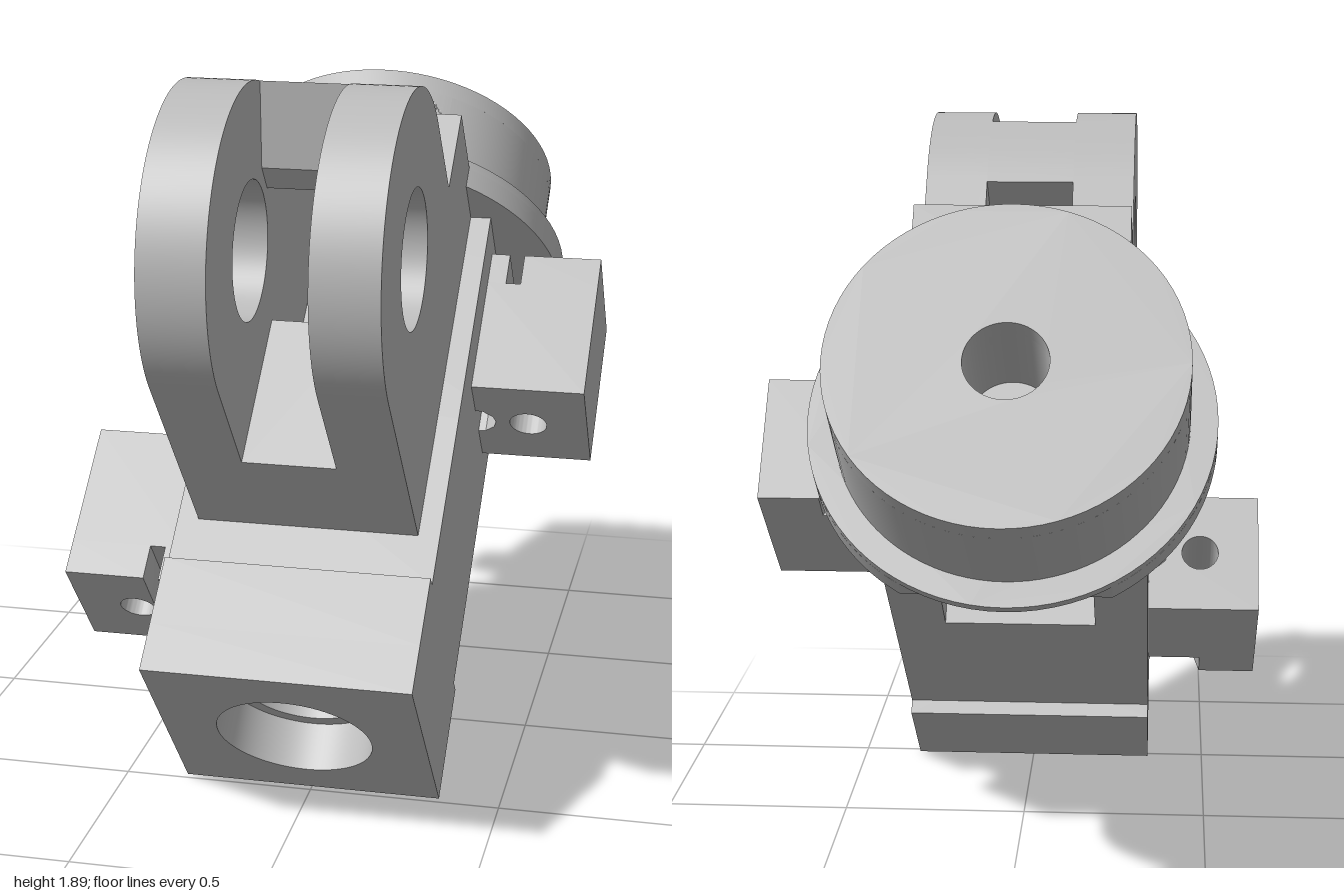
import * as THREE from 'three';
import { toCreasedNormals } from 'three/addons/utils/BufferGeometryUtils.js';

const grey = new THREE.MeshStandardMaterial({ color: 0xbcbcbc });
grey.name = 'plain grey';
const greyOpen = new THREE.MeshStandardMaterial({ color: 0xbcbcbc, side: THREE.DoubleSide });
greyOpen.name = 'plain grey';

// Working frame: x across, v upward from the underside, u along the body axis (u = -z)
const AXIS = 0.31;

const poly = (pts) => new THREE.Shape(pts.map(([a, b]) => new THREE.Vector2(a, b)));
const rect = (a0, a1, b0, b1) => poly([[a0, b0], [a1, b0], [a1, b1], [a0, b1]]);
const circle = (a, b, r) => new THREE.Shape().absarc(a, b, r, 0, Math.PI * 2, false);
const withHoles = (shape, ...holes) => {
  shape.holes.push(...holes);
  return shape;
};

export function createModel() {
  const model = new THREE.Group();
  const tilted = new THREE.Group();
  tilted.name = 'tiltedAssembly';
  tilted.rotation.x = THREE.MathUtils.degToRad(40);
  tilted.position.z = 0.48;
  model.add(tilted);

  const add = (name, geometry, material = grey) => {
    const mesh = new THREE.Mesh(geometry, material);
    mesh.name = name;
    tilted.add(mesh);
    return mesh;
  };
  const solid = (shape, depth) => toCreasedNormals(
    new THREE.ExtrudeGeometry(shape, { depth, bevelEnabled: false, curveSegments: 40 }), 0.5);

  // Extrusion helpers for the three directions
  const alongU = (name, shape, u0, u1) => add(name, solid(shape, u1 - u0).translate(0, 0, -u1));
  const alongX = (name, shape, x0, x1) =>
    add(name, solid(shape, x1 - x0).rotateY(Math.PI / 2).translate(x0, 0, 0));
  const alongV = (name, shape, v0, v1) =>
    add(name, solid(shape, v1 - v0).rotateX(-Math.PI / 2).translate(0, v0, 0));

  // Square head with a stepped bore, then the slightly slimmer body
  const W = 0.34;
  alongU('headFront', withHoles(rect(-W, W, 0, 0.63), circle(0, AXIS, 0.2)), 0, 0.13);
  alongU('headRear', withHoles(rect(-W, W, 0, 0.63), circle(0, AXIS, 0.165)), 0.13, 0.315);
  alongU('bodyFront', withHoles(rect(-W, W, 0.04, 0.596), circle(0, AXIS, 0.165)), 0.315, 0.8);
  alongU('bodyMiddle', rect(-W, W, 0.04, 0.596), 0.8, 0.88);

  // Rear of the body: underside pocket, legs shortened at the end
  const channel = (low) => poly([[-W, low], [-0.2, low], [-0.2, 0.3], [0.2, 0.3],
    [0.2, low], [W, low], [W, 0.596], [-W, 0.596]]);
  alongU('bodyRear', channel(0.04), 0.88, 1.31);
  alongU('bodyEnd', channel(0.13), 1.31, 1.445);

  // Clevis cheeks with the pin hole
  const eye = [0.86, 1.211];
  const R = 0.41;
  const cheek = () => {
    const s = new THREE.Shape();
    s.moveTo(0.45, 0.594);
    s.lineTo(1.27, 0.594);
    s.lineTo(1.27, eye[1]);
    s.absarc(eye[0], eye[1], R, 0, Math.PI, false);
    s.closePath();
    return withHoles(s, circle(eye[0], eye[1], 0.173));
  };
  alongX('leftClevisCheek', cheek(), 0.118, 0.285);
  alongX('rightClevisCheek', cheek(), -0.285, -0.118);

  // Web between the cheeks, and the bridge over the rear window
  alongX('clevisFloor', rect(0.45, 0.87, 0.594, 0.9), -0.118, 0.118);
  const bridge = new THREE.Shape();
  bridge.moveTo(1.067, 1.19);
  bridge.lineTo(1.27, 1.19);
  bridge.lineTo(1.27, eye[1]);
  bridge.absarc(eye[0], eye[1], R, 0, 0.594, false);
  bridge.lineTo(1.067, 1.27);
  bridge.closePath();
  alongX('clevisBridge', bridge, -0.118, 0.118);

  // Rear block with a slot and a small pin hole
  alongV('rearBlock', withHoles(
    poly([[-0.285, 1.27], [-0.118, 1.27], [-0.118, 1.48], [0.118, 1.48],
      [0.118, 1.27], [0.285, 1.27], [0.285, 1.51], [-0.285, 1.51]]),
    circle(0.2, 1.389, 0.048)), 0.594, 0.955);

  // Side lugs: two bores each, with a flared groove at the outer end
  const lug = (side, name, uFull0, uFull1, uCut0, uCut1) => {
    const m = (pts) => poly(pts.map(([a, b]) => [a * side, b]));
    const bore = (r = 0.05) => circle(0.48 * side, 0.315, r);
    const inner = () => circle(0.395 * side, 0.315, 0.001);
    alongU(name, withHoles(m([[W, 0.145], [0.64, 0.145], [0.64, 0.485], [W, 0.485],
      [W, 0.365], [0.36, 0.363], [0.385, 0.34], [0.392, 0.315], [0.385, 0.29],
      [0.36, 0.267], [W, 0.265]]), bore()), uFull0, uFull1);
    alongU(name + 'OuterTip', withHoles(m([[0.485, 0.145], [0.64, 0.145], [0.64, 0.485],
      [0.43, 0.485], [0.43, 0.29]]), bore(0.047)), uCut0, uCut1);
    alongU(name + 'InnerTip', m([[W, 0.17], [0.39, 0.32], [0.39, 0.485], [W, 0.485]]), uCut0, uCut1);
  };
  lug(1, 'leftLug', 0.97, 1.31, 1.31, 1.405);
  lug(-1, 'rightLug', 0.42, 0.76, 0.325, 0.42);

  // Flange: thick collar with flats above and below, and a thin full rim
  const rf = 0.51;
  const flat = Math.asin(0.44 / rf);
  const collar = new THREE.Shape();
  collar.absarc(0, AXIS, rf, -flat, flat, false);
  collar.absarc(0, AXIS, rf, Math.PI - flat, Math.PI + flat, false);
  collar.closePath();
  alongU('flangeCollar', collar, 1.445, 1.505);
  alongU('flangeRim', circle(0, AXIS, rf), 1.505, 1.53);

  // Drum with a central hole; its top is left open for the two scoops
  const rd = 0.442;
  const half = 0.2;
  const open = Math.asin(half / rd);
  const drum = new THREE.Shape();
  drum.absarc(0, AXIS, rd, Math.PI / 2 + open, Math.PI * 2.5 - open, false);
  drum.lineTo(half, 0.5);
  drum.lineTo(-half, 0.5);
  drum.closePath();
  alongU('drumWall', withHoles(drum, circle(0, AXIS, 0.105)), 1.53, 1.77);
  alongU('drumEnd', withHoles(circle(0, AXIS, rd), circle(0, AXIS, 0.105)), 1.77, 1.822);

  // Scooped top of the drum: two sloping round channels sunk in the curved wall
  const nx = 96;
  const nu = 32;
  const scoop = new THREE.PlaneGeometry(2 * half, 0.24, nx, nu).rotateX(-Math.PI / 2);
  const p = scoop.attributes.position;
  for (let i = 0; i < p.count; i++) {
    const x = p.getX(i);
    const u = 1.65 - p.getZ(i);
    const dx = Math.abs(x) - 0.102;
    let v = AXIS + Math.sqrt(rd * rd - x * x);
    if (Math.abs(dx) < 0.096) {
      v = Math.min(v, 0.62 + (u - 1.53) * 0.9 - Math.sqrt(0.096 ** 2 - dx * dx));
    }
    p.setXYZ(i, x, v, -u);
  }
  add('drumScoops', toCreasedNormals(scoop, 0.6), greyOpen);

  return model;
}
